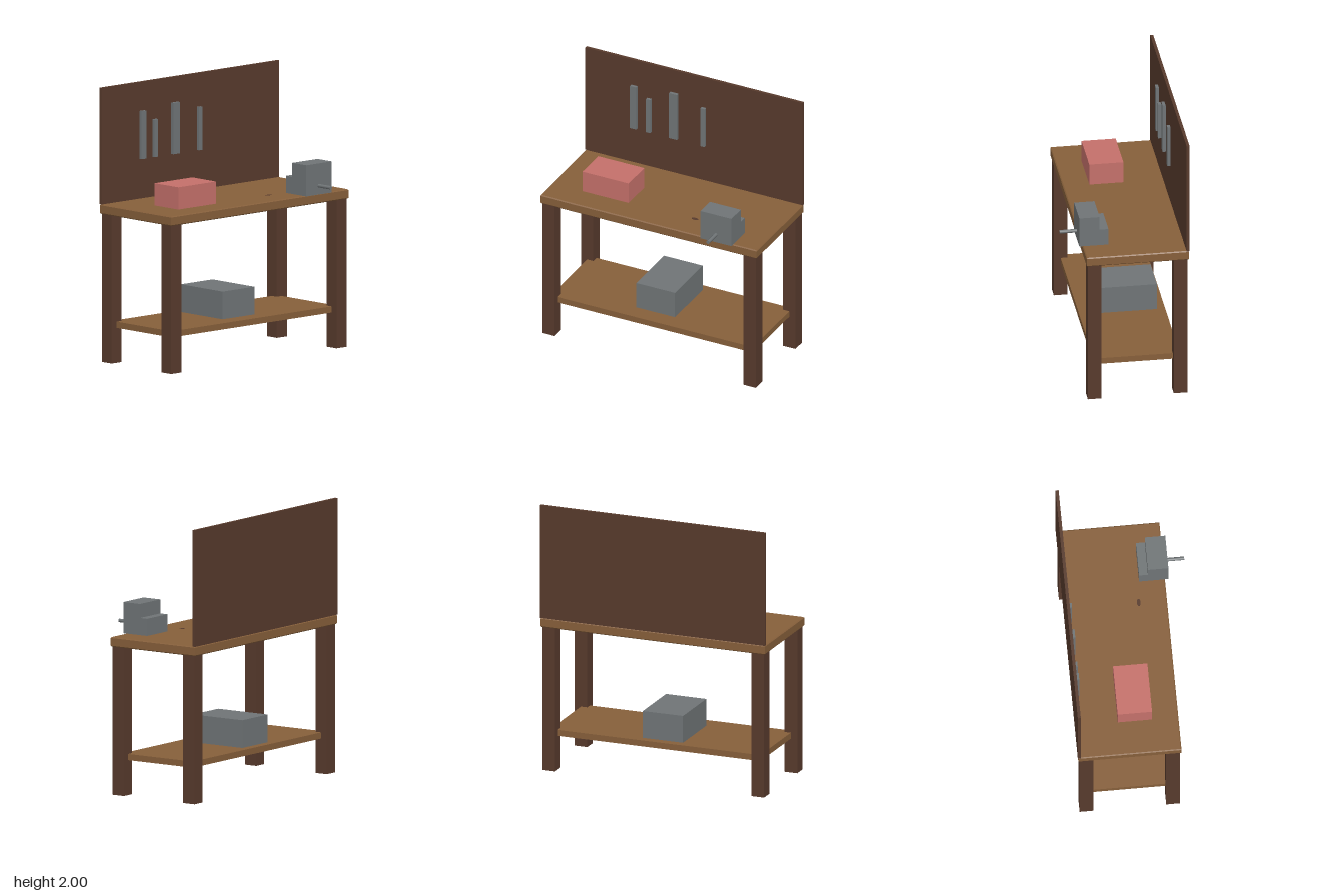
import * as THREE from 'three';

const mat = (name, color) => {
  const m = new THREE.MeshStandardMaterial({ color });
  m.name = name;
  return m;
};

export function createModel() {
  const wood = mat('lightWood', 0x865f3a);
  const dark = mat('darkWood', 0x573a2c);
  const steel = mat('steel', 0x6f7476);
  const red = mat('redPaint', 0xc4706a);

  const bench = new THREE.Group();
  bench.name = 'workbench';

  const add = (parent, name, geometry, material, x = 0, y = 0, z = 0) => {
    const mesh = new THREE.Mesh(geometry, material);
    mesh.name = name;
    mesh.position.set(x, y, z);
    parent.add(mesh);
    return mesh;
  };
  // Box given by its limits on each axis
  const box = (parent, name, material, [x0, x1], [y0, y1], [z0, z1]) =>
    add(parent, name, new THREE.BoxGeometry(x1 - x0, y1 - y0, z1 - z0), material,
      (x0 + x1) / 2, (y0 + y1) / 2, (z0 + z1) / 2);

  // Worktop slab with a small chamfer on every edge
  const c = 0.007, hw = 0.875 - c, hd = 0.3725 - c;
  const outline = new THREE.Shape();
  outline.moveTo(-hw, -hd).lineTo(hw, -hd).lineTo(hw, hd).lineTo(-hw, hd).closePath();
  const slab = new THREE.ExtrudeGeometry(outline, {
    depth: 0.07 - 2 * c, bevelEnabled: true, bevelThickness: c, bevelSize: c, bevelSegments: 1,
  });
  slab.rotateX(-Math.PI / 2);
  add(bench, 'worktop', slab, wood, 0, 1.08 + c, -0.0725);

  // Four square legs, with the shelf reaching to their centres
  for (const x of [-0.815, 0.815])
    for (const z of [0.24, -0.385])
      add(bench, z > 0 ? 'frontLeg' : 'backLeg', new THREE.BoxGeometry(0.1, 1.08, 0.1), dark, x, 0.54, z);
  box(bench, 'shelf', wood, [-0.815, 0.815], [0.255, 0.3], [-0.385, 0.24]);

  // Back board with hanging tools
  box(bench, 'backBoard', dark, [-0.876, 0.876], [1.15, 2], [-0.449, -0.427]);
  const tools = new THREE.Group();
  tools.name = 'hangingTools';
  bench.add(tools);
  for (const [x0, x1, top] of [
    [-0.505, -0.455, 1.79], [-0.377, -0.34, 1.715], [-0.19, -0.127, 1.815], [0.062, 0.097, 1.755],
  ]) box(tools, 'tool', steel, [x0, x1], [1.44, top], [-0.43, -0.404]);

  // Boxes on the worktop and the shelf
  box(bench, 'redToolbox', red, [-0.625, -0.253], [1.15, 1.312], [-0.138, 0.11]);
  box(bench, 'storageBox', steel, [-0.19, 0.122], [0.3, 0.502], [-0.325, 0.113]);

  // Vise: tall front jaw, low rear block, screw handle
  const vise = new THREE.Group();
  vise.name = 'vise';
  bench.add(vise);
  box(vise, 'frontJaw', steel, [0.435, 0.685], [1.15, 1.377], [0.177, 0.325]);
  box(vise, 'rearBlock', steel, [0.435, 0.685], [1.15, 1.275], [0.113, 0.177]);
  const handle = new THREE.CylinderGeometry(0.013, 0.013, 0.14, 12).rotateX(Math.PI / 2);
  add(vise, 'handle', handle, steel, 0.56, 1.214, 0.38);

  // Dark knot in the worktop
  const knot = add(bench, 'woodKnot', new THREE.CylinderGeometry(0.028, 0.028, 0.002, 12), dark, 0.275, 1.15, 0.096);
  knot.scale.z = 0.5;

  return bench;
}
